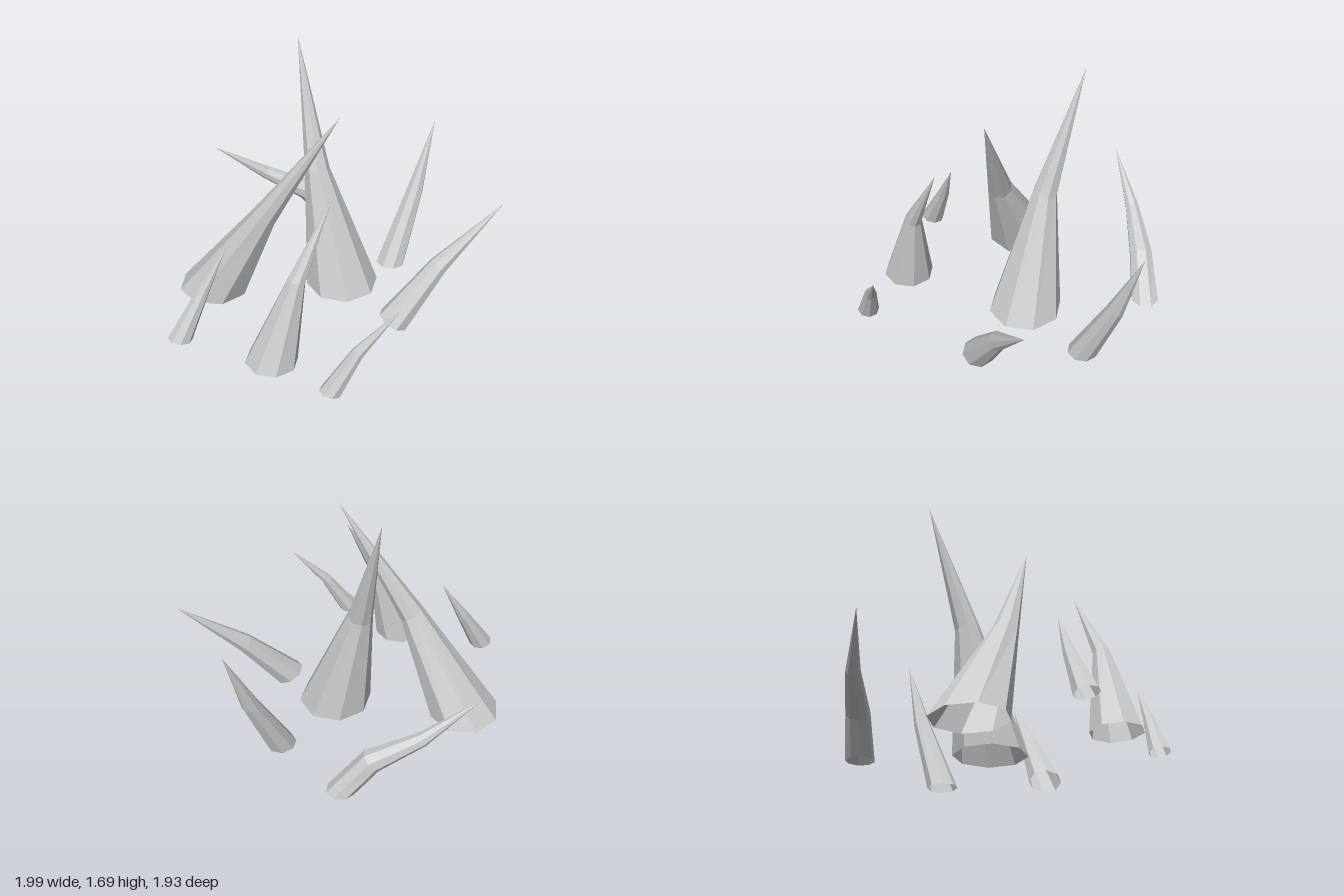
import * as THREE from 'three';

const SIDES = 8;
const UP = new THREE.Vector3(0, 1, 0);
const material = new THREE.MeshStandardMaterial({ color: 0xcccccc, flatShading: true, side: THREE.DoubleSide });

// Each spike: base tilt (x, z), phase in degrees, rings [x, y, z, radius] from base to tip
const SPIKES = [
  { name: 'tallCentreSpike', tilt: [0, 0], phase: 0,
    rings: [[0.135, 0.115, 0.13, 0.23], [0.14, 0.89, -0.08, 0.078], [0.26, 1.69, -0.32, 0]] },
  { name: 'tallBackSpike', tilt: [0.03, 0], phase: 9,
    rings: [[-0.335, 0.045, -0.565, 0.228], [-0.26, 0.71, -0.18, 0.08], [-0.075, 1.46, 0.245, 0]] },
  { name: 'leftSpike', tilt: [0.06, 0], phase: 4,
    rings: [[-0.72, 0.09, 0.235, 0.16], [-0.58, 0.64, 0.32, 0.055], [-0.337, 1.105, 0.387, 0]] },
  { name: 'farLeftSpike', tilt: [0.22, 0], phase: 0,
    rings: [[-0.925, 0.11, -0.315, 0.075], [-0.775, 0.4, -0.25, 0.04], [-0.633, 0.695, -0.165, 0]] },
  { name: 'frontLeftSpike', tilt: [0.2, 0.1], phase: 0,
    rings: [[-0.715, 0.085, 0.67, 0.067], [-0.59, 0.35, 0.77, 0.038], [-0.407, 0.63, 0.935, 0]] },
  { name: 'frontSpike', tilt: [0.35, 0.4], phase: 0,
    rings: [[0.075, 0.045, 0.575, 0.1], [0.325, 0.4, 0.73, 0.06], [0.658, 0.78, 0.965, 0]] },
  { name: 'rightSpike', tilt: [0.05, 0], phase: 0,
    rings: [[0.6, 0.025, 0.2, 0.095], [0.82, 0.5, 0.225, 0.055], [0.99, 0.97, 0.247, 0]] },
  { name: 'bentBackSpike', tilt: [0, 0], phase: 10,
    rings: [[0.73, 0.088, -0.38, 0.09], [0.61, 0.32, -0.52, 0.075], [0.42, 0.475, -0.74, 0.045], [0.16, 0.715, -0.965, 0]] },
];

// Open, bent pyramid: the rings turn with the path and close at the tip
function spikeGeometry({ tilt, phase, rings }) {
  const centres = rings.map(([x, y, z]) => new THREE.Vector3(x, y, z));
  const positions = [];
  const index = [];
  rings.forEach(([, , , radius], i) => {
    const normal = new THREE.Vector3(tilt[0], 1, tilt[1]);
    if (i > 0) {
      const before = centres[i].clone().sub(centres[i - 1]).normalize();
      const next = centres[Math.min(i + 1, centres.length - 1)];
      const after = next.clone().sub(centres[i]).normalize();
      normal.copy(before).add(after);
    }
    const turn = new THREE.Quaternion().setFromUnitVectors(UP, normal.normalize());
    for (let s = 0; s < SIDES; s++) {
      const a = (s / SIDES) * Math.PI * 2 + THREE.MathUtils.degToRad(phase);
      const p = new THREE.Vector3(Math.cos(a) * radius, 0, -Math.sin(a) * radius);
      p.applyQuaternion(turn).add(centres[i]);
      positions.push(p.x, p.y, p.z);
    }
  });
  for (let i = 0; i < rings.length - 1; i++) {
    for (let s = 0; s < SIDES; s++) {
      const a = i * SIDES + s;
      const b = i * SIDES + ((s + 1) % SIDES);
      index.push(a, b, b + SIDES);
      if (rings[i + 1][3] > 0) index.push(a, b + SIDES, a + SIDES);
    }
  }
  const indexed = new THREE.BufferGeometry();
  indexed.setAttribute('position', new THREE.Float32BufferAttribute(positions, 3));
  indexed.setIndex(index);
  const geometry = indexed.toNonIndexed();
  geometry.computeVertexNormals();
  return geometry;
}

export function createModel() {
  const group = new THREE.Group();
  group.name = 'spikeCluster';
  for (const spike of SPIKES) {
    const mesh = new THREE.Mesh(spikeGeometry(spike), material);
    mesh.name = spike.name;
    group.add(mesh);
  }
  return group;
}
